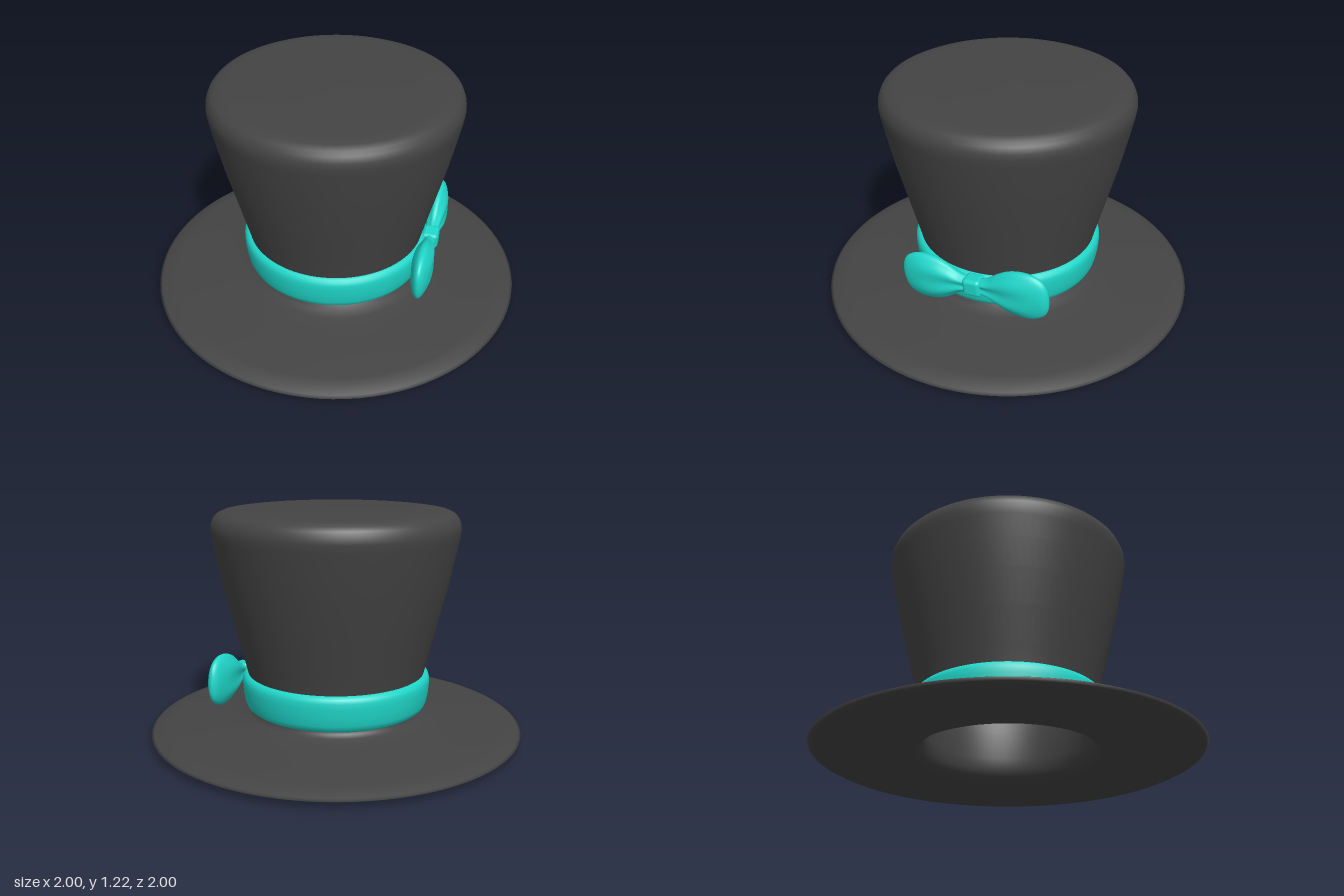
import * as THREE from 'three';
import { ParametricGeometry } from 'three/addons/geometries/ParametricGeometry.js';
import { RoundedBoxGeometry } from 'three/addons/geometries/RoundedBoxGeometry.js';

const felt = new THREE.MeshStandardMaterial({ color: 0x444444 });
const ribbon = new THREE.MeshStandardMaterial({ color: 0x1fd6c9 });

function lathe(name, profile, material) {
  const points = profile.map(([r, y]) => new THREE.Vector2(r, y));
  const mesh = new THREE.Mesh(new THREE.LatheGeometry(points, 96), material);
  mesh.name = name;
  return mesh;
}

// One puffed loop of the bow: distance along, half height and half depth
function loopGeometry() {
  const path = new THREE.CatmullRomCurve3([
    [0.03, 0.042, 0.03], [0.08, 0.058, 0.036], [0.14, 0.095, 0.046], [0.2, 0.122, 0.054],
    [0.27, 0.133, 0.055], [0.33, 0.127, 0.046], [0.38, 0.1, 0.032], [0.403, 0.062, 0.017], [0.412, 0, 0],
  ].map((p) => new THREE.Vector3(...p)));
  const p = new THREE.Vector3();
  return new ParametricGeometry((u, v, target) => {
    path.getPoint(u, p);
    const a = -v * Math.PI * 2;
    // Pleats fade out away from the knot
    const pleat = 1 + 0.2 * Math.cos(6 * a) * Math.max(0, 1 - u * 1.5);
    target.set(p.x, Math.max(p.y, 0) * Math.cos(a), Math.max(p.z, 0) * Math.sin(a) * pleat);
  }, 32, 48);
}

export function createModel() {
  const hat = new THREE.Group();
  hat.name = 'topHat';

  // Hollow crown and brim: inside top, down the lining, under the brim, over and up
  hat.add(lathe('crownAndBrim', [
    [0, 1.17], [0.55, 1.165], [0.6, 1.14], [0.61, 1.09], [0.55, 0.8], [0.46, 0.44], [0.43, 0.3],
    [0.425, 0.15], [0.432, 0.09], [0.45, 0.055], [0.49, 0.03], [0.56, 0.014], [0.7, 0.004], [0.88, 0],
    [0.94, 0.01], [0.985, 0.03], [1, 0.04], [0.985, 0.048], [0.94, 0.065], [0.9, 0.072], [0.75, 0.085],
    [0.6, 0.098], [0.52, 0.108], [0.475, 0.12], [0.455, 0.135], [0.45, 0.16], [0.46, 0.26],
    [0.478, 0.35], [0.5, 0.44], [0.545, 0.62], [0.59, 0.8], [0.622, 0.95], [0.646, 1.07],
    [0.652, 1.11], [0.65, 1.14], [0.638, 1.17], [0.62, 1.19], [0.59, 1.204], [0.54, 1.211],
    [0.4, 1.214], [0, 1.215],
  ], felt));

  hat.add(lathe('ribbonBand', [
    [0.445, 0.15], [0.468, 0.152], [0.484, 0.165], [0.494, 0.19], [0.502, 0.235], [0.506, 0.28],
    [0.506, 0.31], [0.5, 0.329], [0.488, 0.34], [0.475, 0.344], [0.455, 0.34],
  ], ribbon));

  // Bow on the front left of the band
  const bow = new THREE.Group();
  bow.name = 'bow';
  const loop = loopGeometry();
  for (const [name, turn] of [['leftLoop', 0], ['rightLoop', Math.PI]]) {
    const mesh = new THREE.Mesh(loop, ribbon);
    mesh.name = name;
    mesh.rotation.y = turn;
    bow.add(mesh);
  }

  // Knot, pinched in its middle
  const knotGeometry = new RoundedBoxGeometry(0.1, 0.1, 0.09, 6, 0.022);
  const pos = knotGeometry.attributes.position;
  for (let i = 0; i < pos.count; i++) {
    const flare = 0.9 + 40 * pos.getX(i) ** 2;
    pos.setY(i, pos.getY(i) * flare);
  }
  const knot = new THREE.Mesh(knotGeometry, ribbon);
  knot.name = 'knot';
  bow.add(knot);

  bow.position.set(0.288, 0.305, 0.44);
  bow.rotation.set(0, THREE.MathUtils.degToRad(27), THREE.MathUtils.degToRad(5.5));
  hat.add(bow);
  return hat;
}
